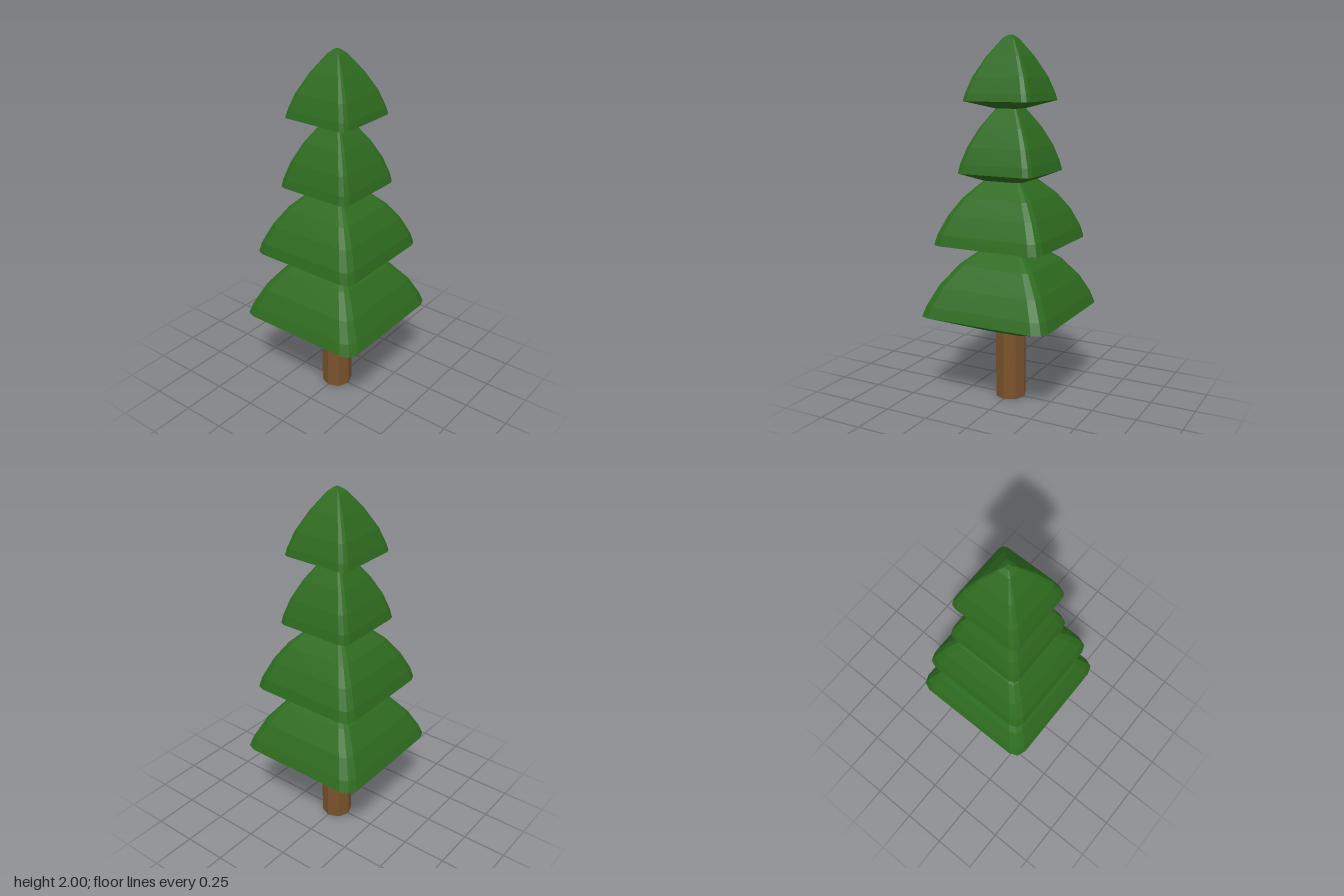
import * as THREE from 'three';

// Square outline with chamfered corners, 12 points per ring
const CORNER = [[1, 0.82], [0.95, 0.95], [0.82, 1]];
const OUTLINE = [];
for (let q = 0; q < 4; q++) {
  for (const [x, z] of CORNER) {
    OUTLINE.push([[x, z], [-z, x], [-x, -z], [z, -x]][q]);
  }
}

// Loft the outline through [half width, height] steps, bottom to top
function loft(profile) {
  const n = OUTLINE.length;
  const pos = [];
  const point = (i, j) => {
    const [w, y] = profile[i];
    const [x, z] = OUTLINE[j % n];
    return [x * w, y, z * w];
  };
  for (let i = 0; i < profile.length - 1; i++) {
    for (let j = 0; j < n; j++) {
      const a = point(i, j), b = point(i, j + 1);
      const c = point(i + 1, j + 1), d = point(i + 1, j);
      if (profile[i + 1][0] > 0) pos.push(...a, ...d, ...c);
      else pos.push(...a, ...d, ...b);
      if (profile[i][0] > 0 && profile[i + 1][0] > 0) pos.push(...a, ...c, ...b);
    }
  }
  const geo = new THREE.BufferGeometry();
  geo.setAttribute('position', new THREE.Float32BufferAttribute(pos, 3));
  geo.computeVertexNormals();
  return geo;
}

// Each tier: underside, rim, domed sides, top
const TIERS = [
  [[0, 0.4], [0.12, 0.4], [0.375, 0.51], [0.355, 0.57], [0.305, 0.67], [0.22, 0.78], [0.11, 0.87], [0, 0.92]],
  [[0, 0.865], [0.11, 0.865], [0.32, 0.9], [0.305, 0.96], [0.26, 1.06], [0.2, 1.15], [0.11, 1.24], [0, 1.29]],
  [[0, 1.235], [0.11, 1.235], [0.22, 1.28], [0.21, 1.33], [0.18, 1.42], [0.13, 1.52], [0.055, 1.63], [0, 1.66]],
  [[0, 1.62], [0.065, 1.62], [0.197, 1.66], [0.187, 1.7], [0.157, 1.785], [0.1, 1.89], [0.036, 1.98], [0.012, 2], [0, 2]],
];

export function createModel() {
  const tree = new THREE.Group();
  tree.name = 'pineTree';
  const bark = new THREE.MeshStandardMaterial({ color: 0x7a522c, flatShading: true });
  const needles = new THREE.MeshStandardMaterial({ color: 0x2d6b1f, flatShading: true });

  // Octagonal trunk, running slightly into the lowest tier
  const trunk = new THREE.Mesh(new THREE.CylinderGeometry(0.087, 0.087, 0.42, 8), bark);
  trunk.position.y = 0.21;
  trunk.name = 'trunk';
  tree.add(trunk);

  // Stacked foliage tiers
  TIERS.forEach((profile, i) => {
    const tier = new THREE.Mesh(loft(profile), needles);
    tier.name = `foliageTier${i + 1}`;
    tree.add(tier);
  });
  return tree;
}
